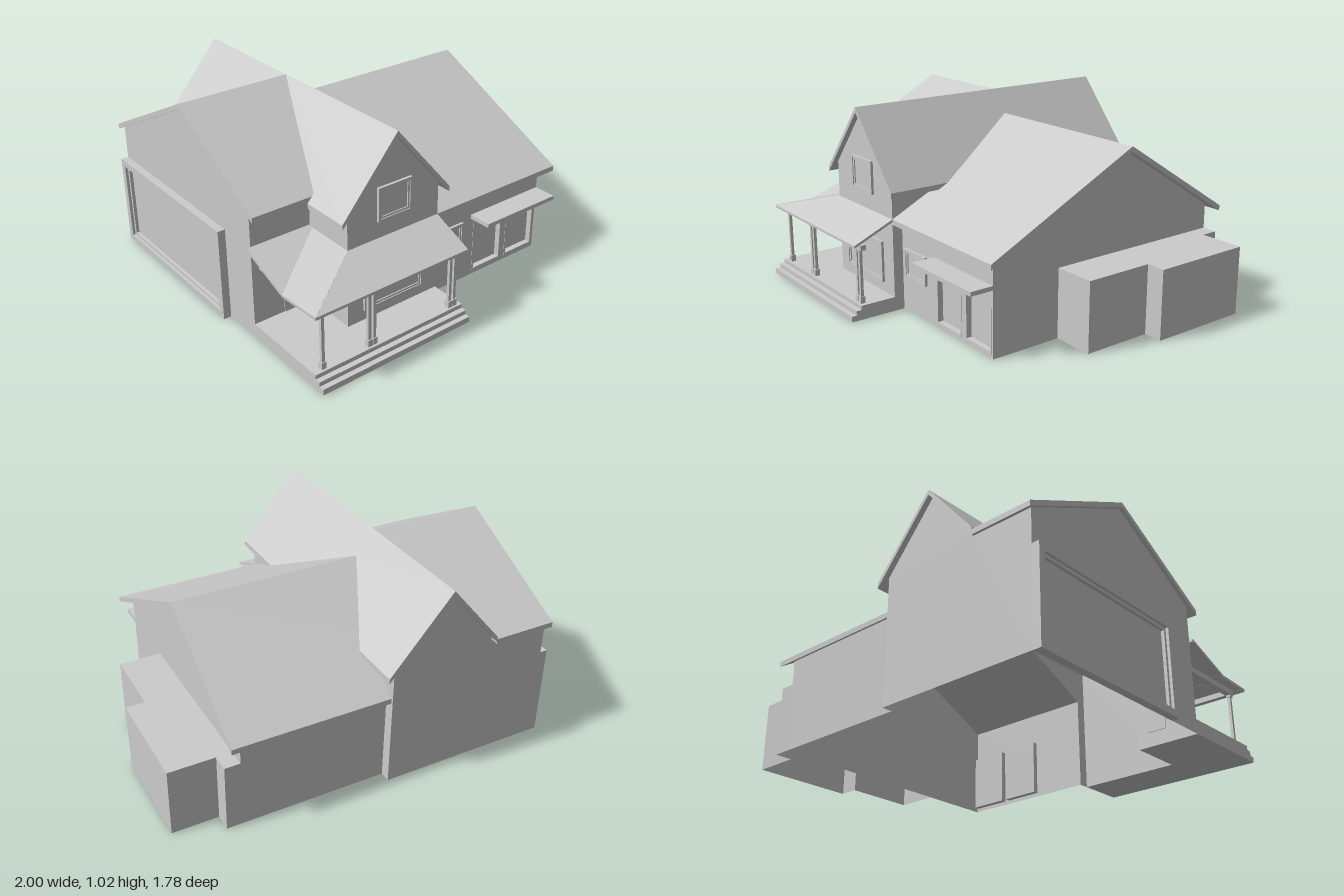
import * as THREE from 'three';

const material = new THREE.MeshStandardMaterial({ color: 0xcccccc, flatShading: true, side: THREE.DoubleSide });

export function createModel() {
  const house = new THREE.Group();
  house.name = 'house';

  const add = (name, geometry, parent = house) => {
    const mesh = new THREE.Mesh(geometry, material);
    mesh.name = name;
    parent.add(mesh);
    return mesh;
  };
  const shapeOf = (pts) => new THREE.Shape(pts.map(([a, b]) => new THREE.Vector2(a, b)));
  const rect = (x0, y0, x1, y1) => [[x0, y0], [x1, y0], [x1, y1], [x0, y1]];

  // Box given by its extents on each axis
  const box = (name, [x0, x1], [y0, y1], [z0, z1], parent) =>
    add(name, new THREE.BoxGeometry(x1 - x0, y1 - y0, z1 - z0), parent)
      .position.set((x0 + x1) / 2, (y0 + y1) / 2, (z0 + z1) / 2);

  // Thin wall in the x-y plane
  const wallZ = (name, z, pts, holes = []) => {
    const shape = shapeOf(pts);
    holes.forEach((h) => shape.holes.push(shapeOf(h)));
    add(name, new THREE.ShapeGeometry(shape)).position.z = z;
  };
  // Thin wall in the z-y plane, points given as [z, y]
  const wallX = (name, x, pts) => {
    const wall = add(name, new THREE.ShapeGeometry(shapeOf(pts.map(([z, y]) => [-z, y]))));
    wall.rotation.y = Math.PI / 2;
    wall.position.x = x;
  };

  // Sloping slab: a plan outline [x, z] lifted to the height rule
  const roof = (name, height, plan, thickness = 0.028) => {
    const g = new THREE.ExtrudeGeometry(shapeOf(plan.map(([x, z]) => [x, -z])), { depth: thickness, bevelEnabled: false });
    g.rotateX(-Math.PI / 2);
    const p = g.attributes.position;
    for (let i = 0; i < p.count; i++) {
      p.setY(i, height(p.getX(i), p.getZ(i)) + p.getY(i) - thickness);
    }
    g.computeVertexNormals();
    add(name, g);
  };

  // Rectangular frame around a pane, built facing +z
  const frame = (w, h, border, depth, parent, name) => {
    const shape = shapeOf(rect(-w / 2, -h / 2, w / 2, h / 2));
    const iw = w / 2 - border, ih = h / 2 - border;
    shape.holes.push(shapeOf(rect(-iw, -ih, iw, ih)));
    return add(name, new THREE.ExtrudeGeometry(shape, { depth, bevelEnabled: false }), parent);
  };
  const windowAt = (name, x0, x1, y0, y1, z) => {
    const group = new THREE.Group();
    group.name = name;
    const w = x1 - x0, h = y1 - y0;
    frame(w, h, 0.012, 0.014, group, 'outerFrame');
    frame(w - 0.024, h - 0.024, 0.01, 0.009, group, 'innerFrame');
    add('pane', new THREE.PlaneGeometry(w - 0.04, h - 0.04), group).position.z = 0.003;
    group.position.set((x0 + x1) / 2, (y0 + y1) / 2, z);
    house.add(group);
  };

  // Cross gable roof, ridge running front to back
  const gableY = (x) => 1.02 - 1.17 * Math.abs(x + 0.365);
  roof('gableRoofLeftSlope', gableY, [[-0.365, -0.89], [-0.365, 0.67], [-0.68, 0.67], [-0.68, 0.41],
    [-0.645, 0.41], [-0.367, -0.2], [-0.645, -0.89]]);
  roof('gableRoofRightSlope', gableY, [[-0.365, -0.89], [-0.04, -0.89], [-0.04, -0.62], [-0.26, -0.2],
    [-0.04, 0.33], [-0.04, 0.67], [-0.365, 0.67]]);

  // Side wing roofs, ridges running left to right
  const westY = (x, z) => 1.02 - (z > -0.2 ? 0.557 * (z + 0.2) : -0.493 * (z + 0.2));
  roof('westRoofFront', westY, [[-0.98, -0.2], [-0.365, -0.2], [-0.64, 0.41], [-0.98, 0.41]]);
  roof('westRoofBack', westY, [[-0.98, -0.2], [-0.365, -0.2], [-0.645, -0.89], [-0.98, -0.89]]);
  const eastY = (x, z) => 0.9 - (z > -0.2 ? 0.488 * (z + 0.2) : -0.63 * (z + 0.2));
  roof('eastRoofFront', eastY, [[-0.26, -0.2], [0.74, -0.2], [0.74, 0.64], [-0.085, 0.64], [-0.085, 0.22]]);
  roof('eastRoofBack', eastY, [[-0.26, -0.2], [0.74, -0.2], [0.74, -0.85], [-0.085, -0.85], [-0.085, -0.53]]);

  // Walls, open underneath
  wallZ('gableFrontWall', 0.64, [[-0.63, 0], [-0.085, 0], [-0.085, 0.667], [-0.365, 0.995], [-0.63, 0.685]]);
  wallX('gableLeftWall', -0.63, rect(0.35, 0, 0.64, 0.685));
  wallX('gableRightWallFront', -0.085, [[0.64, 0], [0.64, 0.667], [0.2, 0.667], [0.585, 0.495], [0.585, 0]]);
  wallX('gableRightWallBack', -0.085, [[-0.86, 0], [-0.86, 0.667], [-0.5, 0.667], [-0.805, 0.495], [-0.805, 0]]);
  wallZ('westFrontWall', 0.35, rect(-0.96, 0, -0.63, 0.69));
  wallX('westEndWall', -0.96, [[0.35, 0], [0.35, 0.69], [-0.2, 0.995], [-0.86, 0.67], [-0.86, 0]]);
  wallZ('gableBackWall', -0.86, [[-0.96, 0], [-0.085, 0], [-0.085, 0.667], [-0.365, 0.995], [-0.635, 0.68], [-0.96, 0.67]]);
  const doors = [[0.22, 0.43], [0.46, 0.67]];
  wallZ('eastFrontWall', 0.585, rect(-0.085, 0, 0.68, 0.49), doors.map(([a, b]) => rect(a, 0.02, b, 0.315)));
  wallZ('eastBackWall', -0.805, rect(-0.085, 0, 0.68, 0.49));
  wallX('eastEndWall', 0.68, [[0.585, 0], [0.585, 0.49], [-0.2, 0.875], [-0.805, 0.49], [-0.805, 0]]);

  // Recessed doors under a flat canopy
  doors.forEach(([a, b]) => {
    const group = new THREE.Group();
    group.name = 'recessedDoor';
    frame(b - a, 0.295, 0.012, 0.03, group, 'doorFrame');
    add('doorPanel', new THREE.PlaneGeometry(b - a, 0.295), group);
    group.position.set((a + b) / 2, 0.1675, 0.557);
    house.add(group);
  });
  box('doorCanopy', [0.2, 0.68], [0.338, 0.36], [0.585, 0.71]);

  // Stepped lean-to blocks on the right end, hollow below
  const outline = [[0.68, 0.2], [0.9, 0.2], [0.9, -0.17], [1, -0.17], [1, -0.715], [0.76, -0.715], [0.76, -0.805], [0.68, -0.805]];
  for (let i = 0; i < outline.length - 1; i++) {
    const [x0, z0] = outline[i], [x1, z1] = outline[i + 1];
    if (x0 === x1) wallX('annexSide', x0, [[z0, 0], [z1, 0], [z1, 0.36], [z0, 0.36]]);
    else wallZ('annexEnd', z0, rect(Math.min(x0, x1), 0, Math.max(x0, x1), 0.36));
  }
  roof('annexTop', () => 0.36, outline, 0.004);

  // Windows and entrance door
  windowAt('upperWindow', -0.46, -0.26, 0.58, 0.755, 0.64);
  windowAt('porchWindow', -0.54, -0.18, 0.13, 0.35, 0.64);
  windowAt('smallWindow', -0.05, 0.14, 0.19, 0.34, 0.585);
  box('entranceDoor', [-0.79, -0.685], [0.075, 0.32], [0.346, 0.354]);

  // Large framed opening on the left end wall
  const sideBay = new THREE.Group();
  sideBay.name = 'sideBay';
  frame(0.99, 0.49, 0.035, 0.04, sideBay, 'bayFrame');
  frame(0.92, 0.42, 0.015, 0.025, sideBay, 'bayInnerFrame');
  add('bayPanel', new THREE.PlaneGeometry(0.9, 0.4), sideBay).position.z = 0.008;
  sideBay.rotation.y = -Math.PI / 2;
  sideBay.position.set(-0.96, 0.245, -0.365);
  house.add(sideBay);

  // Porch floor and steps
  [[0, 0.03, 0.89], [0.03, 0.053, 0.863], [0.053, 0.075, 0.835]].forEach(([y0, y1, z]) =>
    box('porchStep', [-0.96, -0.085], [y0, y1], [0.64, z]));
  box('porchSideFloor', [-0.96, -0.63], [0, 0.075], [0.35, 0.64]);

  // Porch roof: front slope, left hip slope and the slope returning to the wing
  roof('porchRoofFront', (x, z) => 0.49 - 0.43 * (z - 0.64),
    [[-0.085, 0.64], [-0.085, 0.86], [-0.97, 0.86], [-0.63, 0.64]], 0.014);
  roof('porchRoofHip', (x) => 0.49 + 0.275 * (x + 0.63),
    [[-0.63, 0.64], [-0.97, 0.86], [-0.98, 0.625], [-0.63, 0.37]], 0.014);
  roof('porchRoofReturn', (x, z) => 0.49 - 0.375 * (z - 0.37),
    [[-0.98, 0.35], [-0.63, 0.35], [-0.63, 0.37], [-0.98, 0.625]], 0.014);
  box('porchBeam', [-0.92, -0.085], [0.362, 0.39], [0.795, 0.825]);
  box('porchSideBeam', [-0.92, -0.89], [0.362, 0.39], [0.35, 0.795]);

  // Porch posts: one at the corner, two pairs along the front
  [-0.904, -0.642, -0.614, -0.15, -0.122].forEach((x) => {
    const post = new THREE.Group();
    post.name = 'porchPost';
    box('shaft', [-0.008, 0.008], [0.075, 0.365], [-0.008, 0.008], post);
    box('base', [-0.013, 0.013], [0.075, 0.11], [-0.013, 0.013], post);
    box('cap', [-0.012, 0.012], [0.35, 0.365], [-0.012, 0.012], post);
    post.position.set(x, 0, 0.81);
    house.add(post);
  });

  return house;
}
